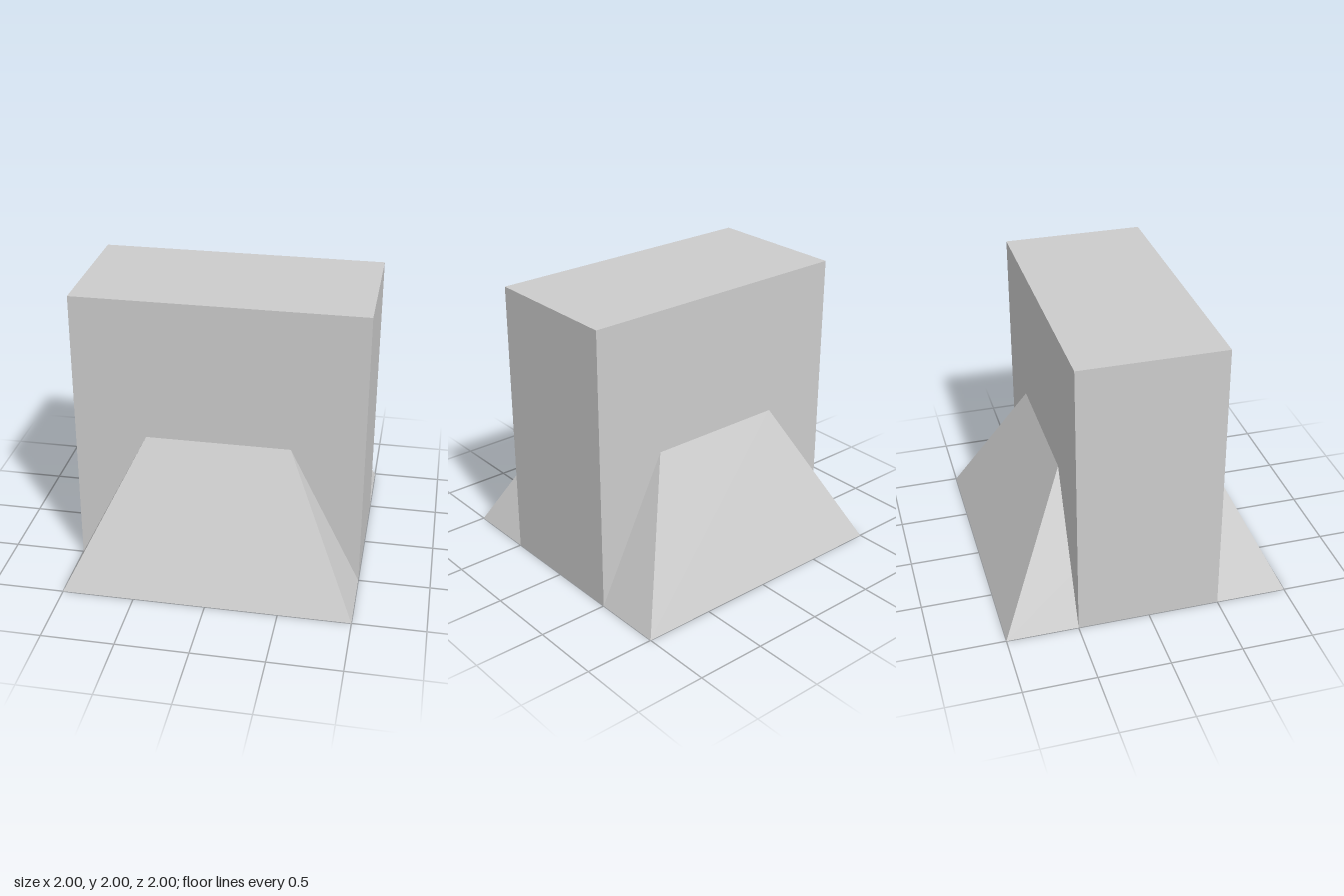
import * as THREE from 'three';

export function createModel() {
  const model = new THREE.Group();
  model.name = 'slabOnPlinth';

  const grey = new THREE.MeshStandardMaterial({ color: 0xcccccc });
  grey.name = 'light grey';

  // Upright block, full width and half depth
  const block = new THREE.Mesh(new THREE.BoxGeometry(2, 2, 1), grey);
  block.name = 'uprightBlock';
  block.position.y = 1;
  model.add(block);

  // Square truncated pyramid: 2 wide at the ground, 1 wide at the top
  const frustum = new THREE.CylinderGeometry(Math.SQRT1_2, Math.SQRT2, 1, 4)
    .rotateY(Math.PI / 4)
    .toNonIndexed();
  frustum.computeVertexNormals(); // flat faces
  const base = new THREE.Mesh(frustum, grey);
  base.name = 'taperedBase';
  base.position.y = 0.5;
  model.add(base);

  return model;
}
